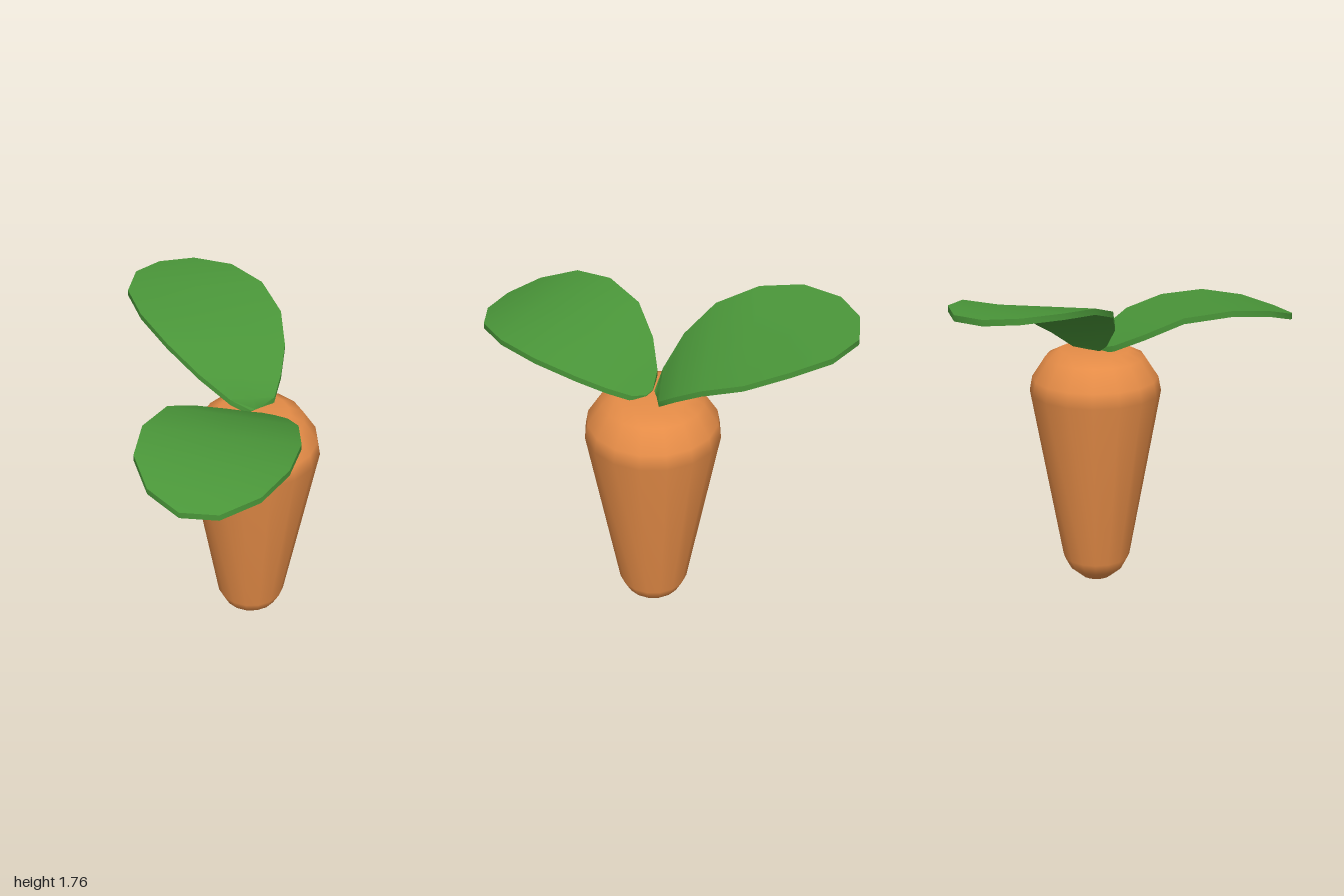
import * as THREE from 'three';
import { toCreasedNormals } from 'three/addons/utils/BufferGeometryUtils.js';

const orange = new THREE.MeshStandardMaterial({ color: 0xe58c47 });
orange.name = 'carrotOrange';
const green = new THREE.MeshStandardMaterial({ color: 0x4a9639 });
green.name = 'leafGreen';

const THICKNESS = 0.032;

// Curved leaf slab from rows of paired edge points: [left xyz, right xyz], base to tip
function leafGeometry(rows) {
  const cols = 3, n = rows.length;
  const positions = [], index = [];
  for (const drop of [0, THICKNESS]) {
    for (const row of rows) {
      const left = new THREE.Vector3(...row.slice(0, 3));
      const right = new THREE.Vector3(...row.slice(3));
      for (let c = 0; c < cols; c++) {
        const p = left.clone().lerp(right, c / (cols - 1));
        positions.push(p.x, p.y - drop, p.z);
      }
    }
  }
  const under = n * cols;
  const quad = (a, b, c, d) => index.push(a, b, c, a, c, d);
  // Upper and lower faces
  for (let r = 0; r < n - 1; r++) {
    for (let c = 0; c < cols - 1; c++) {
      const a = r * cols + c, b = a + cols;
      quad(a, b, b + 1, a + 1);
      quad(under + a, under + a + 1, under + b + 1, under + b);
    }
  }
  // Rim, walked once around the outline
  const rim = [];
  for (let r = 0; r < n; r++) rim.push(r * cols);
  for (let c = 1; c < cols; c++) rim.push((n - 1) * cols + c);
  for (let r = n - 2; r >= 0; r--) rim.push(r * cols + cols - 1);
  for (let c = cols - 2; c > 0; c--) rim.push(c);
  rim.forEach((a, i) => {
    const b = rim[(i + 1) % rim.length];
    quad(a, under + a, under + b, b);
  });
  const geometry = new THREE.BufferGeometry();
  geometry.setAttribute('position', new THREE.Float32BufferAttribute(positions, 3));
  geometry.setIndex(index);
  return toCreasedNormals(geometry, 0.7);
}

export function createModel() {
  const group = new THREE.Group();
  const add = (name, geometry, material) => {
    const mesh = new THREE.Mesh(geometry, material);
    mesh.name = name;
    group.add(mesh);
    return mesh;
  };

  // Tapered root with rounded tip and shoulders
  const profile = [
    [0, 0], [0.085, 0.015], [0.15, 0.07], [0.187, 0.14],
    [0.36, 1.11], [0.345, 1.19], [0.27, 1.305], [0.19, 1.345], [0, 1.345],
  ].map(([r, y]) => new THREE.Vector2(r, y));
  add('root', new THREE.LatheGeometry(profile, 16), orange).position.set(0.195, 0, -0.09);

  // Low leaf drooping to the front
  add('frontLeaf', leafGeometry([
    [0.18, 1.35, -0.08, 0.24, 1.35, -0.08],
    [0.06, 1.39, -0.03, 0.31, 1.37, -0.04],
    [-0.08, 1.475, 0.09, 0.39, 1.425, 0.06],
    [-0.2, 1.575, 0.26, 0.46, 1.485, 0.2],
    [-0.28, 1.61, 0.5, 0.5, 1.535, 0.43],
    [-0.28, 1.59, 0.72, 0.47, 1.55, 0.67],
    [-0.18, 1.535, 0.9, 0.36, 1.525, 0.87],
    [-0.01, 1.49, 1.0, 0.18, 1.49, 0.99],
  ]), green);

  // Taller leaf arching to the back
  add('backLeaf', leafGeometry([
    [0.22, 1.345, -0.13, 0.18, 1.35, -0.09],
    [0.29, 1.38, -0.19, 0.07, 1.42, -0.07],
    [0.31, 1.46, -0.3, -0.1, 1.55, -0.09],
    [0.31, 1.55, -0.45, -0.28, 1.67, -0.17],
    [0.26, 1.63, -0.66, -0.45, 1.74, -0.33],
    [0.13, 1.7, -0.84, -0.56, 1.76, -0.53],
    [-0.06, 1.725, -0.97, -0.56, 1.755, -0.75],
    [-0.28, 1.73, -1.0, -0.46, 1.74, -0.91],
  ]), green);

  return group;
}
